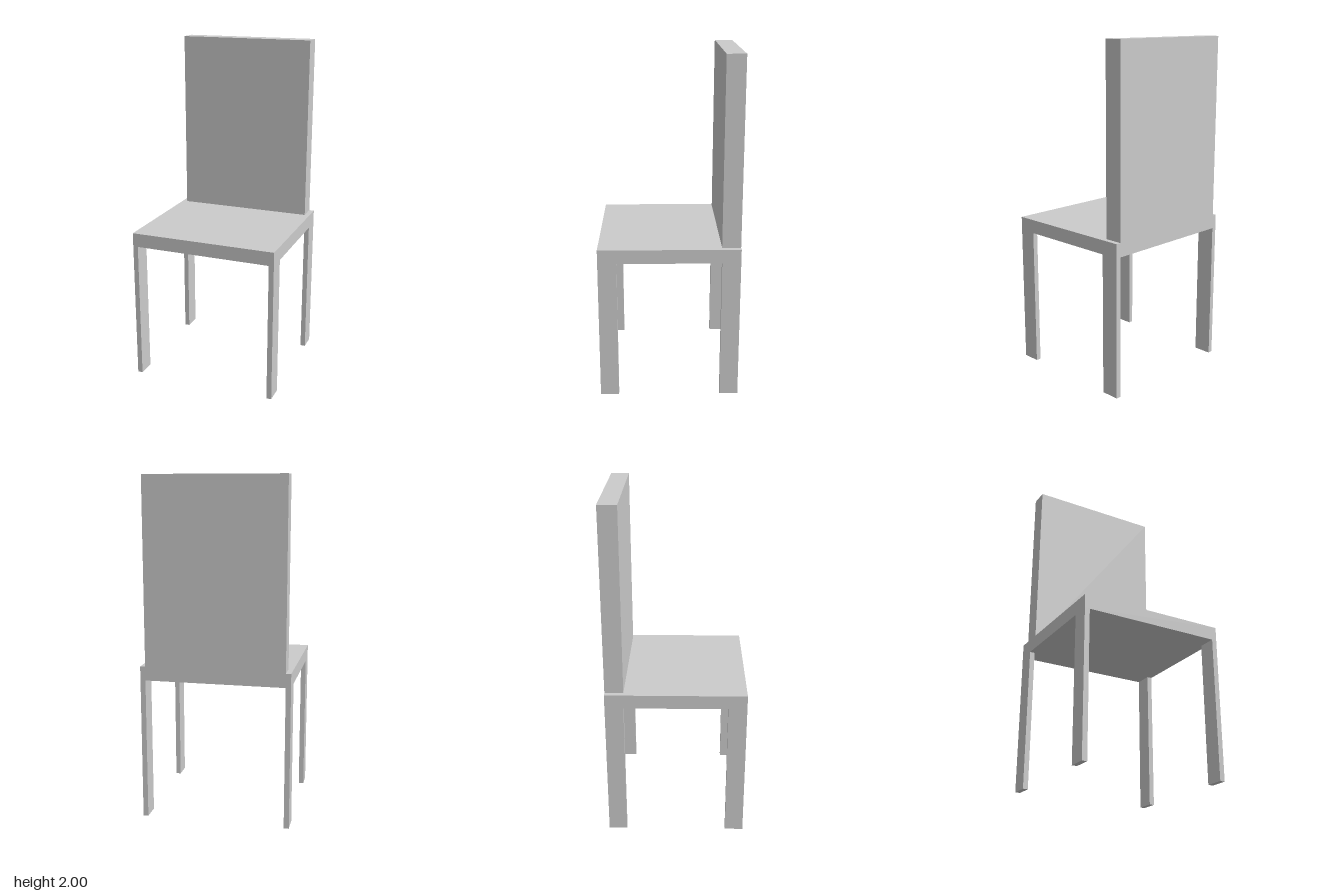
import * as THREE from 'three';

const HALF_WIDTH = 0.438, HALF_DEPTH = 0.408;
const SEAT_BOTTOM = 0.835, SEAT_TOP = 0.917, HEIGHT = 2;
const LEG_WIDTH = 0.03, LEG_DEPTH = 0.108;

export function createModel() {
  const chair = new THREE.Group();
  chair.name = 'chair';
  const material = new THREE.MeshStandardMaterial({ color: 0xcccccc, flatShading: true });

  // Box given by its size, its centre in x and z, and its bottom in y
  const addBox = (name, w, h, d, x, bottom, z) => {
    const mesh = new THREE.Mesh(new THREE.BoxGeometry(w, h, d), material);
    mesh.name = name;
    mesh.position.set(x, bottom + h / 2, z);
    chair.add(mesh);
  };

  const legX = HALF_WIDTH - LEG_WIDTH / 2;
  const legZ = HALF_DEPTH - LEG_DEPTH / 2;

  // Seat slab
  addBox('seat', HALF_WIDTH * 2, SEAT_TOP - SEAT_BOTTOM, HALF_DEPTH * 2, 0, SEAT_BOTTOM, 0);

  // Backrest, flush with the rear edge and slightly narrower than the seat
  addBox('backrest', (HALF_WIDTH - LEG_WIDTH) * 2, HEIGHT - SEAT_TOP, LEG_DEPTH, 0, SEAT_TOP, -legZ);

  // Four thin legs flush with the seat corners
  for (const [sideName, sx] of [['Left', 1], ['Right', -1]]) {
    for (const [endName, sz] of [['front', 1], ['back', -1]]) {
      addBox(`${endName}${sideName}Leg`, LEG_WIDTH, SEAT_BOTTOM, LEG_DEPTH, sx * legX, 0, sz * legZ);
    }
  }

  return chair;
}
